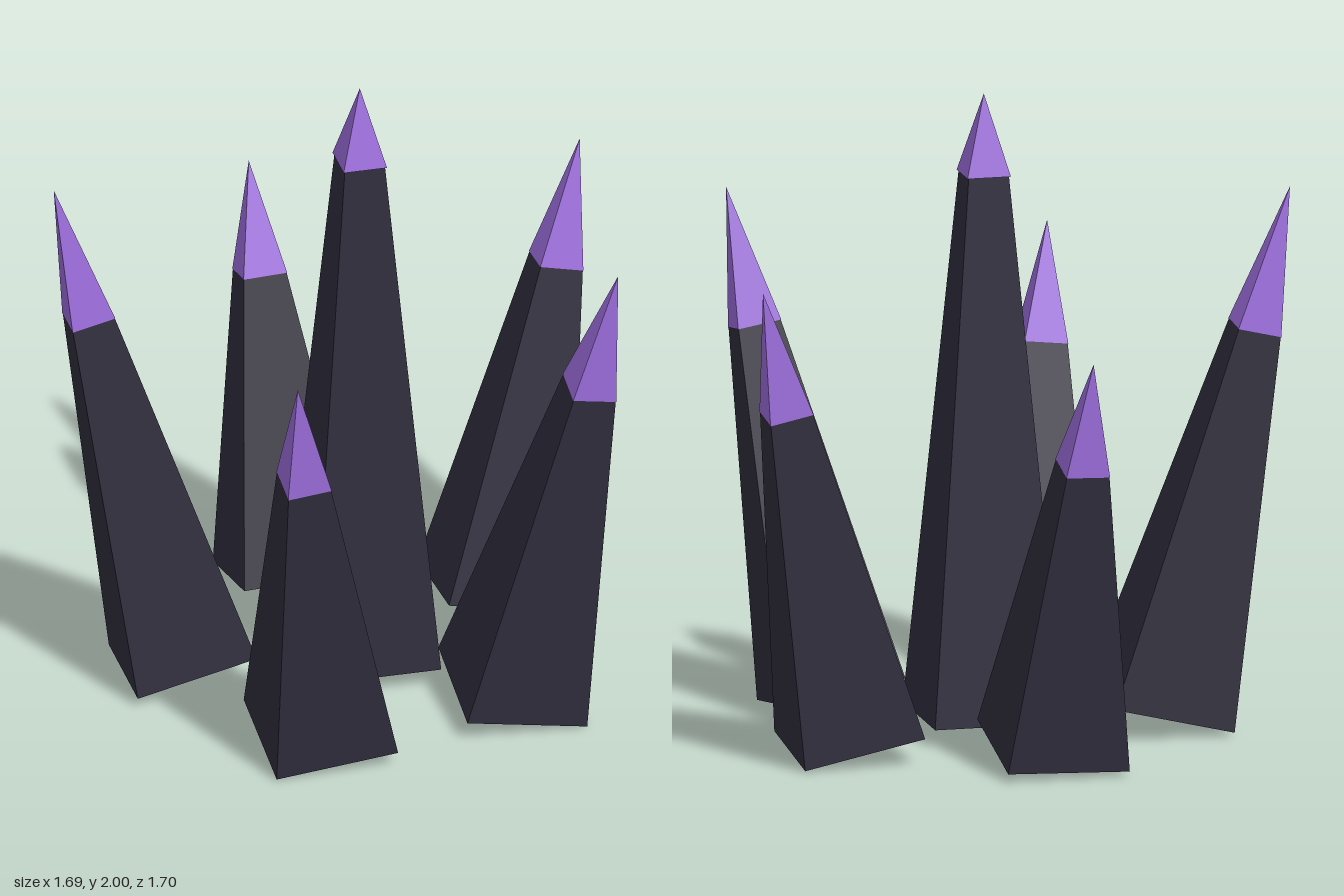
import * as THREE from 'three';

export function createModel() {
  const model = new THREE.Group();
  model.name = 'crystalCluster';

  const stone = new THREE.MeshStandardMaterial({ color: 0x2f2d3c, flatShading: true });
  stone.name = 'dark stone';
  const crystal = new THREE.MeshStandardMaterial({ color: 0x9b6cdb, flatShading: true });
  crystal.name = 'purple crystal';

  // Four-sided tapering shaft with a pointed tip, base at the group's origin
  function spike(name, baseRadius, topRadius, tipRadius, shaftLength, tipLength) {
    const group = new THREE.Group();
    group.name = name;
    const shaft = new THREE.Mesh(
      new THREE.CylinderGeometry(topRadius, baseRadius, shaftLength, 4), stone);
    shaft.name = 'shaft';
    shaft.position.y = shaftLength / 2;
    const tip = new THREE.Mesh(new THREE.ConeGeometry(tipRadius, tipLength, 4), crystal);
    tip.name = 'tip';
    tip.position.y = shaftLength + tipLength / 2;
    group.add(shaft, tip);
    model.add(group);
    return group;
  }

  const centreX = -0.08;

  // Upright central spike
  spike('centralSpike', 0.29, 0.09, 0.097, 1.695, 0.25).position.set(centreX, 0.055, 0);

  // Ring of five outward-leaning spikes, of different lengths
  const ring = 0.545, lean = 0.24, tipShare = 0.272;
  const lengths = [1.58, 1.385, 1.673, 1.298, 1.483];
  lengths.forEach((length, i) => {
    const angle = (i / lengths.length) * Math.PI * 2;
    const outer = spike('outerSpike' + (i + 1), 0.273, 0.096, 0.098,
      length * (1 - tipShare), length * tipShare);
    outer.position.set(centreX + Math.cos(angle) * ring, 0.065, Math.sin(angle) * ring);
    outer.rotation.set(Math.sin(angle) * lean, 0, -Math.cos(angle) * lean);
  });

  return model;
}
